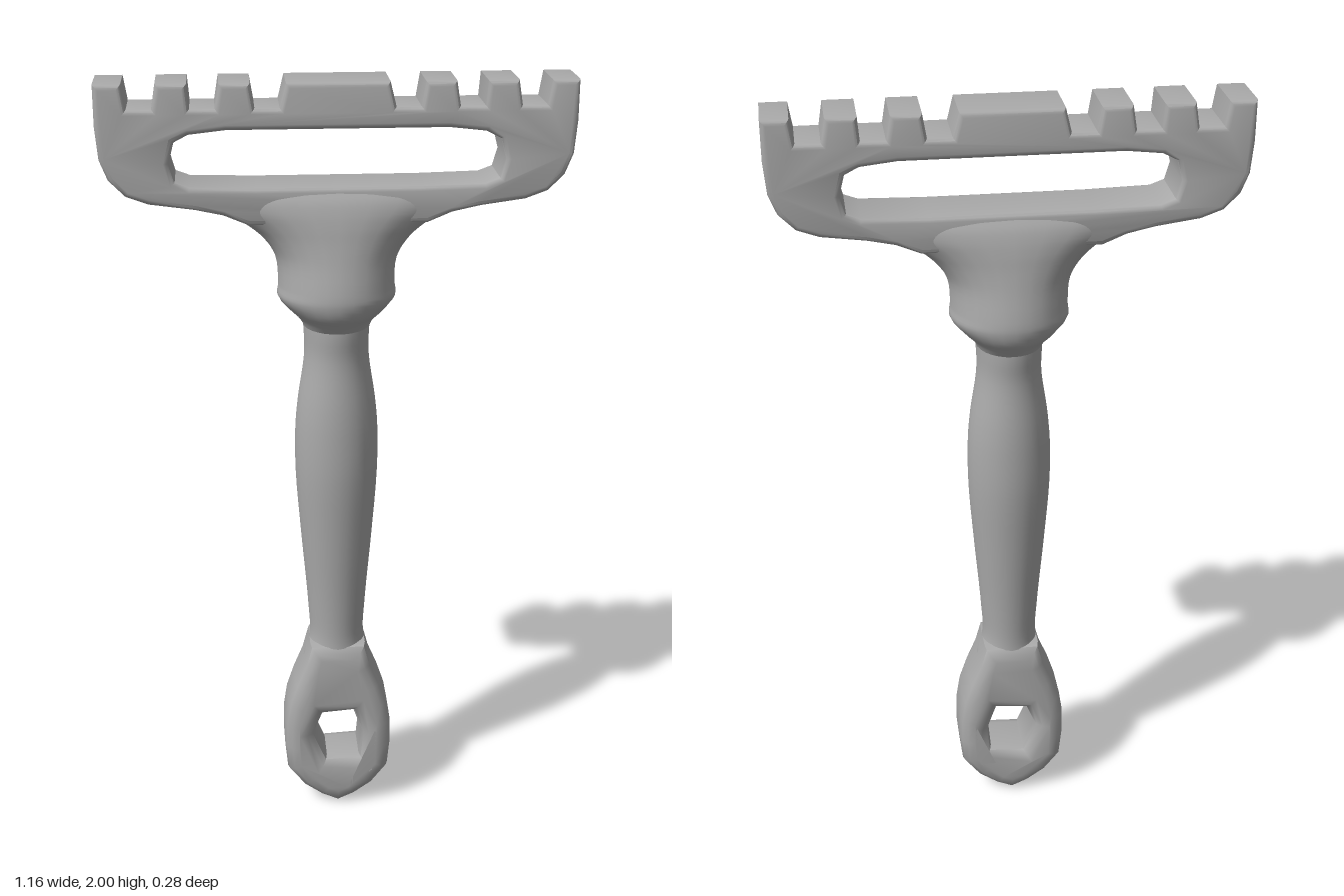
import * as THREE from 'three';
import { mergeVertices, toCreasedNormals } from 'three/addons/utils/BufferGeometryUtils.js';

const grey = new THREE.MeshStandardMaterial({ color: 0xaaaaaa });
grey.name = 'plain grey';

const points = list => list.map(([x, y]) => new THREE.Vector2(x, y));
const mirrored = list => list.map(([x, y]) => [-x, y]).reverse();

// Plate of the given half depth with bevelled rims, centred on z = 0
function plate(name, outline, hole, half, bevel, crease) {
  const shape = new THREE.Shape(points(outline));
  shape.holes.push(new THREE.Path(points(hole)));
  const geo = new THREE.ExtrudeGeometry(shape, {
    depth: 2 * (half - bevel), bevelEnabled: true, bevelThickness: bevel,
    bevelSize: bevel, bevelOffset: -bevel, bevelSegments: 3,
  });
  geo.translate(0, 0, bevel - half);
  const mesh = new THREE.Mesh(toCreasedNormals(geo, crease), grey);
  mesh.name = name;
  return mesh;
}

// Smooth loft through oval sections [y, half width, half depth]
function loft(name, sections, steps) {
  const curve = new THREE.CatmullRomCurve3(sections.map(([y, rx, rz]) => new THREE.Vector3(rx, y, rz)));
  const rows = curve.getPoints(steps);
  rows.unshift(new THREE.Vector3(0, rows[0].y, 0));
  rows.push(new THREE.Vector3(0, rows[rows.length - 1].y, 0));
  let geo = new THREE.LatheGeometry(rows.map(r => new THREE.Vector2(1, r.y)), 28);
  const pos = geo.attributes.position;
  for (let i = 0; i < pos.count; i++) {
    const r = rows[i % rows.length];
    pos.setX(i, pos.getX(i) * r.x);
    pos.setZ(i, pos.getZ(i) * r.z);
  }
  geo.deleteAttribute('normal');
  geo.deleteAttribute('uv');
  geo = mergeVertices(geo, 1e-4);
  geo.computeVertexNormals();
  const mesh = new THREE.Mesh(geo, grey);
  mesh.name = name;
  return mesh;
}

export function createModel() {
  const group = new THREE.Group();
  group.name = 'handTool';

  // Wide slotted head with a row of square teeth along the top
  const side = [
    [0.22, 1.655], [0.28, 1.68], [0.35, 1.695], [0.46, 1.71], [0.515, 1.73],
    [0.555, 1.77], [0.575, 1.82], [0.582, 1.9], [0.582, 2], [0.515, 2],
  ];
  for (const x of [0.435, 0.285]) {
    side.push([x + 0.07, 1.94], [x + 0.01, 1.94], [x, 2], [x - 0.075, 2]);
  }
  side.push([0.2, 1.94], [0.14, 1.94], [0.125, 2]);
  const slotSide = [
    [0.2, 1.748], [0.36, 1.752], [0.395, 1.765], [0.408, 1.81],
    [0.395, 1.86], [0.36, 1.878], [0.27, 1.888],
  ];
  group.add(plate('head', [...side, ...mirrored(side)],
    [...slotSide, ...mirrored(slotSide)], 0.077, 0.013, 0.75));

  // Flared neck and collar below the head
  group.add(loft('neck', [
    [1.37, 0.08, 0.085], [1.4, 0.095, 0.11], [1.425, 0.12, 0.132], [1.46, 0.149, 0.142],
    [1.49, 0.147, 0.14], [1.56, 0.153, 0.125], [1.61, 0.185, 0.115],
    [1.65, 0.235, 0.108], [1.69, 0.31, 0.098], [1.715, 0.34, 0.088], [1.74, 0.35, 0.072],
  ], 40));

  // Swelling grip
  group.add(loft('grip', [
    [0.335, 0.05, 0.05], [0.37, 0.085, 0.07], [0.43, 0.09, 0.078], [0.5, 0.073, 0.073],
    [0.6, 0.077, 0.077], [0.8, 0.094, 0.093], [0.98, 0.107, 0.106], [1.1, 0.107, 0.105],
    [1.18, 0.1, 0.1], [1.3, 0.083, 0.088], [1.37, 0.084, 0.092], [1.43, 0.09, 0.09],
  ], 48));

  // Hanging eye at the foot
  const eyeSide = [
    [0, 0], [0.045, 0.02], [0.095, 0.055], [0.138, 0.11], [0.145, 0.18],
    [0.144, 0.25], [0.135, 0.31], [0.115, 0.37], [0.09, 0.43], [0.074, 0.49],
  ];
  const eyeHole = [
    [-0.03, 0.14], [0.058, 0.145], [0.065, 0.22], [0.042, 0.287], [-0.04, 0.28], [-0.064, 0.22],
  ];
  group.add(plate('hangingEye', [...eyeSide, ...mirrored(eyeSide.slice(1))],
    eyeHole, 0.088, 0.038, 1.1));

  return group;
}
